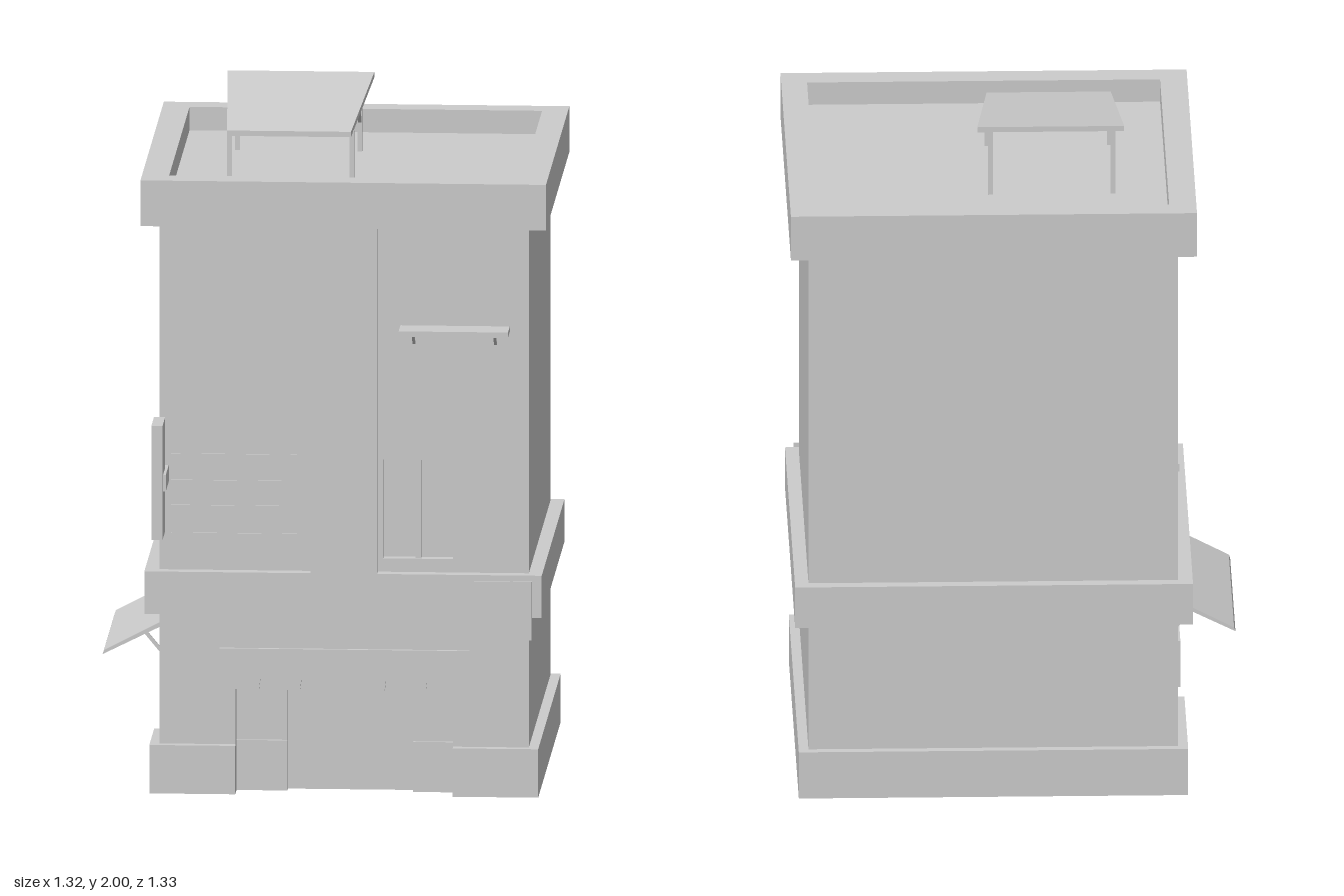
import * as THREE from 'three';

const mat = new THREE.MeshStandardMaterial({ color: 0xcccccc, flatShading: true, side: THREE.DoubleSide });
const T = 0.045; // wall thickness

function add(parent, name, geo) {
  const m = new THREE.Mesh(geo, mat);
  m.name = name;
  parent.add(m);
  return m;
}

// Box given by its limits on each axis
function box(parent, name, x0, x1, y0, y1, z0, z1) {
  const m = add(parent, name, new THREE.BoxGeometry(x1 - x0, y1 - y0, z1 - z0));
  m.position.set((x0 + x1) / 2, (y0 + y1) / 2, (z0 + z1) / 2);
  return m;
}

// Square bar between two points
function bar(parent, name, a, b, w) {
  const p = new THREE.Vector3(...a), q = new THREE.Vector3(...b);
  const m = add(parent, name, new THREE.BoxGeometry(w, w, p.distanceTo(q)));
  m.position.copy(p).add(q).multiplyScalar(0.5);
  m.lookAt(q);
  return m;
}

function poly(points, ShapeType = THREE.Shape) {
  return new ShapeType(points.map(([x, y]) => new THREE.Vector2(x, y)));
}
const rect = (x0, x1, y0, y1) => [[x0, y0], [x1, y0], [x1, y1], [x0, y1]];

function extrude(parent, name, shape, depth) {
  return add(parent, name, new THREE.ExtrudeGeometry(shape, { depth, bevelEnabled: false }));
}

// Wall with a doorway notch and window holes; its outer face is at z = front
function wall(parent, name, u0, u1, front, door, windows) {
  const [a, b, h] = door;
  const shape = poly([[u0, 0], [a, 0], [a, h], [b, h], [b, 0], [u1, 0], [u1, 1.75], [u0, 1.75]]);
  windows.forEach((w) => shape.holes.push(poly(rect(...w), THREE.Path)));
  extrude(parent, name, shape, T).position.z = front - T;
}

// Recessed pane with evenly spaced mullions and an optional crossbar
function windowUnit(parent, name, [u0, u1, y0, y1], front, mullions, cross) {
  const g = new THREE.Group();
  g.name = name;
  parent.add(g);
  box(g, 'pane', u0, u1, y0, y1, front - T, front - 0.03);
  for (let i = 1; i <= mullions; i++) {
    const u = u0 + (u1 - u0) * i / (mullions + 1);
    box(g, 'mullion', u - 0.008, u + 0.008, y0, y1, front - 0.03, front - 0.012);
  }
  if (cross) {
    const y = (y0 + y1) / 2;
    box(g, 'crossbar', u0, u1, y - 0.006, y + 0.006, front - 0.03, front - 0.016);
  }
}

// Door between two low-walled side panels
function entrance(parent, [a, b, h], front, d0, d1) {
  const g = new THREE.Group();
  g.name = 'entrance';
  parent.add(g);
  box(g, 'door', d0, d1, 0, h, front - 0.085, front - 0.07);
  for (const [p, q] of [[a, d0], [d1, b]]) {
    box(g, 'sidePanel', p, q, 0, h, front - 0.085, front - 0.05);
    box(g, 'lowPanel', p, q, 0, 0.15, front - 0.05, front - 0.04);
  }
}

// Horizontal ring of trim around the building
function ring(parent, name, outer, inner, y0, y1) {
  const s = poly(rect(...outer));
  s.holes.push(poly(rect(...inner), THREE.Path));
  const m = extrude(parent, name, s, y1 - y0);
  m.rotation.x = Math.PI / 2;
  m.position.y = y1;
}

export function createModel() {
  const root = new THREE.Group();
  root.name = 'building';
  const F = 0.484; // front and left-hand wall faces

  // Front wall with windows
  const front = new THREE.Group();
  front.name = 'frontFacade';
  root.add(front);
  const doorF = [-0.26, 0.38, 0.38];
  const upper = [-0.45, -0.08, 1.4, 1.574];
  const boarded = [-0.445, -0.085, 0.715, 1.01];
  const tall = [0.174, 0.38, 0.707, 1.003];
  wall(front, 'frontWall', -0.484 + T, 0.603 - T, F, doorF, [upper, boarded, tall]);
  windowUnit(front, 'upperWindow', upper, F, 2, false);
  windowUnit(front, 'boardedWindow', boarded, F, 1, false);
  windowUnit(front, 'tallWindow', tall, F, 1, false);
  for (const y of [0.71, 0.793, 0.868, 0.947])
    box(front, 'board', -0.45, -0.08, y, y + 0.068, F - 0.015, F + 0.004);
  entrance(front, doorF, F, -0.11, 0.26);
  box(front, 'pilaster', -0.037, 0.159, 0.66, 1.71, F - 0.02, 0.52);

  // Side wall, built facing +z and turned to face -x
  const side = new THREE.Group();
  side.name = 'sideFacade';
  side.rotation.y = -Math.PI / 2;
  root.add(side);
  const doorS = [-0.2, 0.262, 0.38];
  const sideWin = [-0.31, 0.145, 1.39, 1.57];
  wall(side, 'sideWall', -0.61, F, F, doorS, [sideWin]);
  windowUnit(side, 'sideWindow', sideWin, F, 2, true);
  entrance(side, doorS, F, -0.09, 0.15);
  box(side, 'thinTrim', -0.605, F, 1.005, 1.03, F - 0.01, F + 0.004);

  // Plain walls
  box(root, 'backWall', -0.484 + T, 0.603 - T, 0, 1.75, -0.61, -0.61 + T);
  box(root, 'rightWall', 0.603 - T, 0.603, 0, 1.75, -0.61, F);

  // Base course, interrupted at both doorways
  const base = new THREE.Group();
  base.name = 'base';
  root.add(base);
  const b = (...l) => box(base, 'baseBlock', l[0], l[1], 0, 0.145, l[2], l[3]);
  b(-0.513, -0.26, 0.45, 0.51);
  b(0.38, 0.632, 0.45, 0.51);
  b(-0.513, 0.632, -0.635, -0.58);
  b(0.575, 0.632, -0.58, 0.45);
  b(-0.513, -0.45, -0.58, -0.2);
  b(-0.513, -0.45, 0.262, 0.45);

  // Middle band, parapet and roof
  ring(root, 'band', [-0.527, 0.643, -0.645, 0.52], [-0.46, 0.58, -0.59, 0.46], 0.54, 0.667);
  ring(root, 'parapet', [-0.538, 0.656, -0.665, 0.528], [-0.458, 0.58, -0.59, 0.448], 1.703, 1.84);
  box(root, 'roof', -0.47, 0.59, 1.74, 1.77, -0.6, 0.46);

  // Signboard over the entrance, cracked along its lower edge
  const edge = [[-0.307, 0.312]];
  for (const x of [-0.187, -0.066, 0.183, 0.304])
    edge.push([x - 0.004, 0.312], [x, 0.345], [x + 0.004, 0.312]);
  edge.push([0.429, 0.312], [0.429, 0.434], [-0.307, 0.434]);
  extrude(root, 'signboard', poly(edge), 0.02).position.z = 0.475;

  // Shelf canopy on the front
  box(root, 'shelfCanopy', 0.225, 0.547, 1.39, 1.406, 0.48, 0.577);
  for (const x of [0.265, 0.505]) {
    bar(root, 'shelfBracket', [x, 1.393, 0.54], [x, 1.355, 0.488], 0.008);
    box(root, 'shelfBracketFoot', x - 0.004, x + 0.004, 1.33, 1.39, 0.482, 0.488);
  }

  // Hanging signs
  box(root, 'tallSign', -0.498, -0.465, 0.79, 1.132, 0.527, 0.665);
  box(root, 'tallSignArm', -0.468, -0.457, 0.93, 0.98, 0.47, 0.637);
  box(root, 'squareSign', 0.447, 0.617, 0.484, 0.66, 0.572, 0.579);
  box(root, 'squareSignRod', 0.581, 0.587, 0.624, 0.63, 0.51, 0.575);

  // Awning over the side door
  const slope = poly([[-0.482, 0.482], [-0.657, 0.391], [-0.661, 0.379], [-0.482, 0.468]]);
  extrude(root, 'awning', slope, 0.605).position.z = -0.28;
  for (const z of [-0.22, 0.265]) {
    bar(root, 'awningStrut', [-0.54, 0.438, z], [-0.488, 0.375, z], 0.01);
    box(root, 'awningUpright', -0.493, -0.482, 0.312, 0.475, z - 0.006, z + 0.006);
  }

  // Sloping rooftop canopy: a tapering panel on posts
  const canopy = new THREE.Group();
  canopy.name = 'roofCanopy';
  root.add(canopy);
  const panel = box(canopy, 'canopyPanel', -1, 1, -0.008, 0.008, -0.5, 0.5);
  const pos = panel.geometry.attributes.position;
  for (let i = 0; i < pos.count; i++) {
    const back = pos.getZ(i) < 0, right = pos.getX(i) > 0;
    const x = back ? (right ? 0.1 : -0.332) : (right ? 0.06 : -0.305);
    pos.setXYZ(i, x, pos.getY(i) + (back ? 1.99 : 1.909), back ? -0.353 : 0.148);
  }
  panel.position.set(0, 0, 0);
  panel.geometry.computeVertexNormals();
  for (const x of [-0.3, 0.06]) {
    bar(canopy, 'frontPost', [x, 1.765, 0.098], [x, 1.912, 0.098], 0.014);
    bar(canopy, 'backPost', [x, 1.765, -0.305], [x, 1.978, -0.305], 0.014);
    bar(canopy, 'brace', [x, 1.857, -0.305], [x, 1.958, -0.19], 0.01);
  }
  return root;
}
